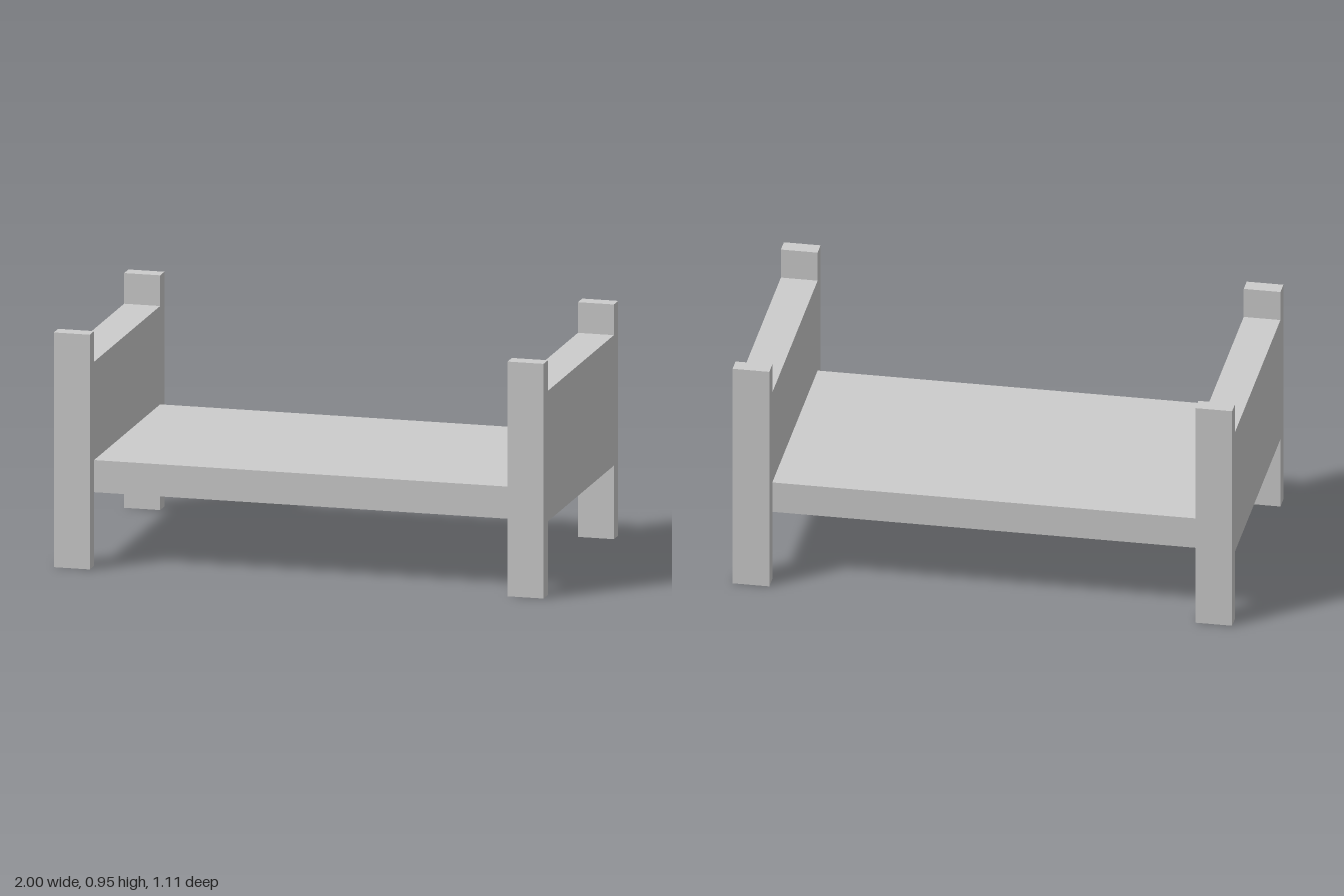
import * as THREE from 'three';

const material = new THREE.MeshStandardMaterial({ color: 0xcccccc, flatShading: true });

const POST_W = 0.147, POST_H = 0.95, HALF_Z = 0.553, INNER_Z = 0.489;
const BASE_Y = 0.298, DECK_TOP = 0.428, BOARD_TOP = 0.826;

// Box given by its minimum and maximum corners
function addBox(parent, name, [x0, y0, z0], [x1, y1, z1]) {
  const mesh = new THREE.Mesh(new THREE.BoxGeometry(x1 - x0, y1 - y0, z1 - z0), material);
  mesh.position.set((x0 + x1) / 2, (y0 + y1) / 2, (z0 + z1) / 2);
  mesh.name = name;
  parent.add(mesh);
}

// End of the bed: a panel between two square-cut posts
function createEnd(name, side) {
  const end = new THREE.Group();
  end.name = name;
  const x0 = side > 0 ? 1 - POST_W : -1;
  const x1 = x0 + POST_W;
  addBox(end, 'endPanel', [x0, BASE_Y, -INNER_Z], [x1, BOARD_TOP, INNER_Z]);
  addBox(end, 'frontPost', [x0, 0, INNER_Z], [x1, POST_H, HALF_Z]);
  addBox(end, 'backPost', [x0, 0, -HALF_Z], [x1, POST_H, -INNER_Z]);
  return end;
}

export function createModel() {
  const bed = new THREE.Group();
  bed.name = 'bed';
  bed.add(createEnd('headboard', -1), createEnd('footboard', 1));
  // Mattress deck spanning between the two ends
  const reach = 1 - POST_W;
  addBox(bed, 'mattressDeck', [-reach, BASE_Y, -INNER_Z], [reach, DECK_TOP, INNER_Z]);
  return bed;
}
